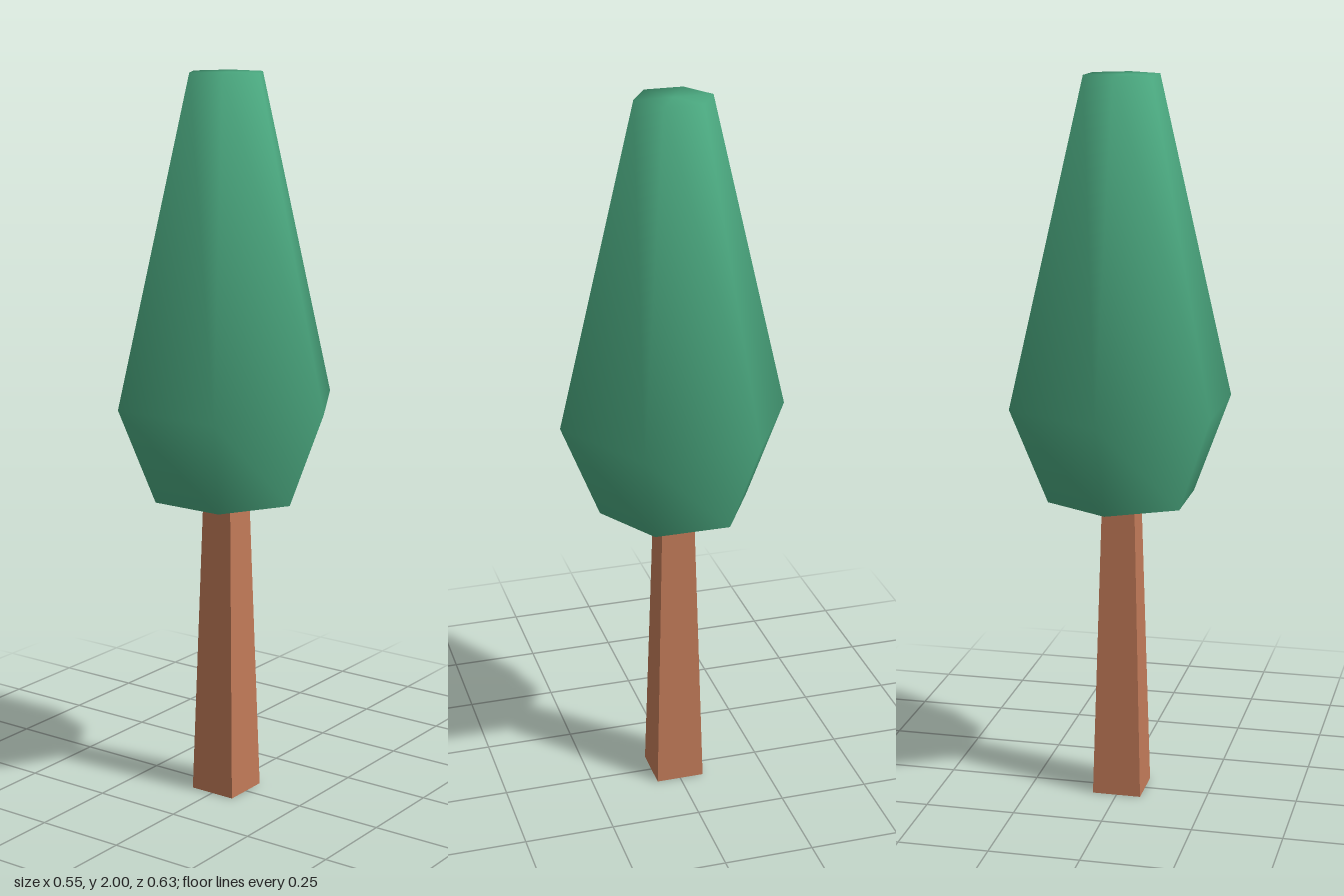
import * as THREE from 'three';

const SIDES = 6;

// Faceted cylinder with one flat normal per face
function flatPrism(topRadius, bottomRadius, height, sides) {
  const geometry = new THREE.CylinderGeometry(topRadius, bottomRadius, height, sides).toNonIndexed();
  geometry.computeVertexNormals();
  return geometry;
}

// Hexagonal crown: smooth shading rolls over the sides and onto the top cap
function crownGeometry() {
  // radius, height, upward part of the normal
  const rings = [
    [0.21, 0.855, -0.33],
    [0.316, 1.12, -0.06],
    [0.106, 2, 0.7],
    [0, 2, 1],
  ];
  const geometry = new THREE.LatheGeometry(rings.map(([r, y]) => new THREE.Vector2(r, y)), SIDES);
  const normal = geometry.attributes.normal;
  for (let i = 0; i < normal.count; i++) {
    const angle = (Math.floor(i / rings.length) / SIDES) * Math.PI * 2;
    const up = rings[i % rings.length][2];
    const out = Math.sqrt(1 - up * up);
    normal.setXYZ(i, out * Math.sin(angle), up, out * Math.cos(angle));
  }
  return geometry;
}

export function createModel() {
  const leaf = new THREE.MeshStandardMaterial({ color: 0x49a57d });
  const bark = new THREE.MeshStandardMaterial({ color: 0xc17a58 });
  leaf.name = 'leaf green';
  bark.name = 'bark brown';

  const tree = new THREE.Group();
  tree.name = 'tree';

  // Tapered square trunk
  const trunk = new THREE.Mesh(flatPrism(0.045 * Math.SQRT2, 0.068 * Math.SQRT2, 0.86, 4), bark);
  trunk.name = 'trunk';
  trunk.position.y = 0.43;
  trunk.rotation.y = Math.PI / 4;

  const crown = new THREE.Mesh(crownGeometry(), leaf);
  crown.name = 'crown';

  // Flat underside of the crown
  const underside = new THREE.Mesh(new THREE.CircleGeometry(0.21, SIDES, Math.PI / 2), leaf);
  underside.name = 'crownUnderside';
  underside.rotation.x = Math.PI / 2;
  underside.position.y = 0.855;

  tree.add(trunk, crown, underside);
  return tree;
}
